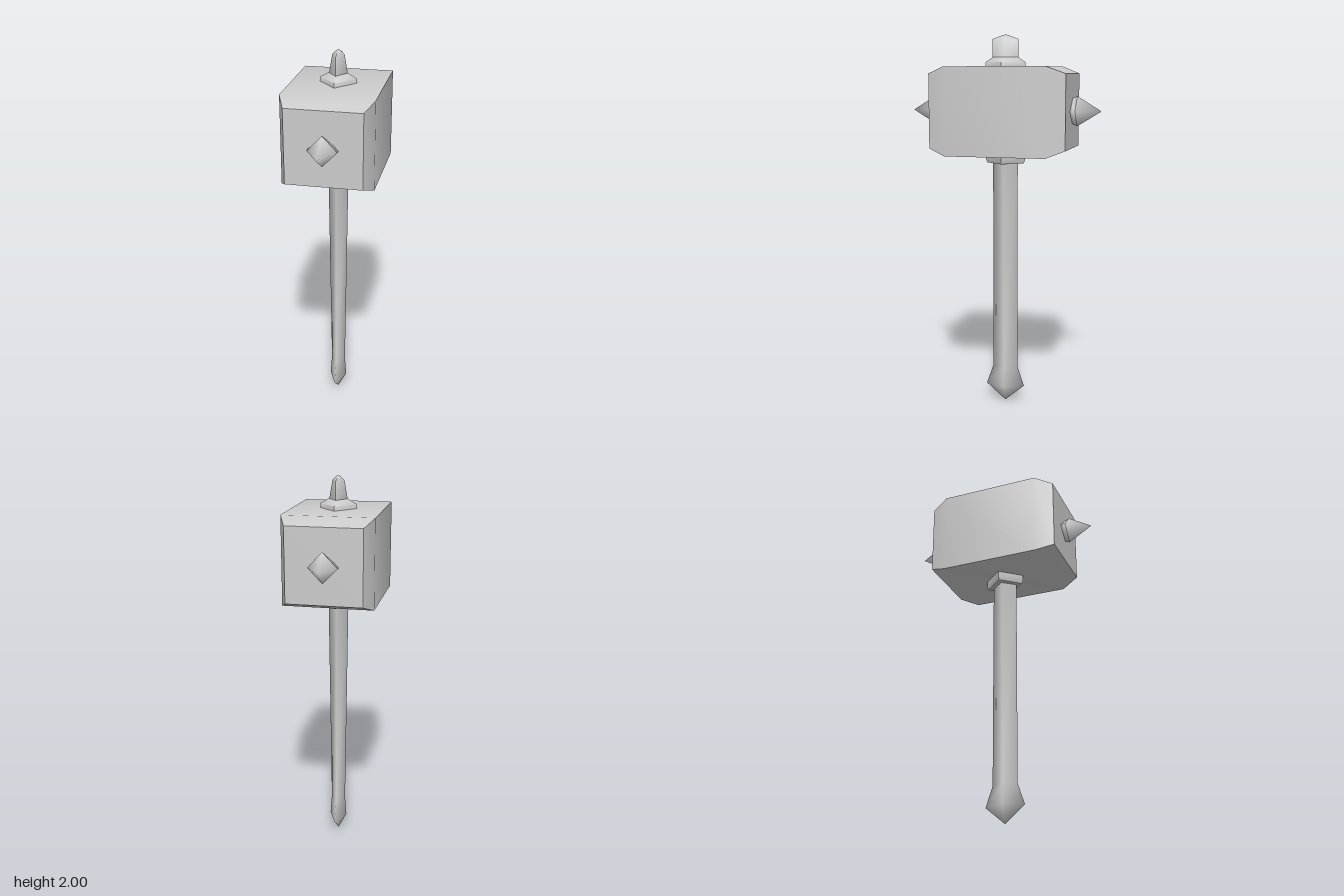
import * as THREE from 'three';
import { toCreasedNormals } from 'three/addons/utils/BufferGeometryUtils.js';

const DIAMOND = [[1, 0], [0, -1], [-1, 0], [0, 1]];
const SQUARE = [[1, 1], [1, -1], [-1, -1], [-1, 1]];
const material = new THREE.MeshStandardMaterial({ color: 0xcccccc });

// Four-sided loft through rings [y, half x, half z], bottom to top; a zero ring closes an end.
function loft(name, corners, rings, crease = Math.PI) {
  const positions = [];
  const index = [];
  for (const [y, hx, hz] of rings) {
    for (const [x, z] of corners) positions.push(x * hx, y, z * hz);
  }
  for (let r = 0; r < rings.length - 1; r++) {
    for (let i = 0; i < 4; i++) {
      const j = (i + 1) % 4;
      const a = r * 4 + i, b = r * 4 + j, c = a + 4, d = b + 4;
      if (rings[r][1] > 0) index.push(a, b, d);
      if (rings[r + 1][1] > 0) index.push(a, d, c);
      else if (rings[r][1] > 0) index.splice(-3, 3, a, b, c);
    }
  }
  const geometry = new THREE.BufferGeometry();
  geometry.setAttribute('position', new THREE.Float32BufferAttribute(positions, 3));
  geometry.setIndex(index);
  const mesh = new THREE.Mesh(toCreasedNormals(geometry, crease), material);
  mesh.name = name;
  return mesh;
}

export function createModel() {
  const model = new THREE.Group();
  model.name = 'warHammer';
  const headY = 1.608;

  // Block head with bevelled striking ends, lofted along z
  const head = loft('head', SQUARE, [
    [-0.36, 0, 0], [-0.36, 0.195, 0.193], [-0.265, 0.235, 0.229],
    [0.265, 0.235, 0.229], [0.36, 0.195, 0.193], [0.36, 0, 0],
  ], 0.6);
  head.rotation.x = Math.PI / 2;
  head.position.y = headY;
  model.add(head);

  // Spike on each striking face
  for (const [name, turn] of [['frontSpike', 0], ['backSpike', Math.PI]]) {
    const spike = new THREE.Group();
    spike.name = name;
    spike.add(
      loft('spikeBase', DIAMOND, [[0.35, 0.075, 0.062], [0.385, 0.075, 0.078]]),
      loft('spikePoint', DIAMOND, [[0.385, 0.075, 0.078], [0.512, 0, 0]]),
    );
    spike.rotation.set(Math.PI / 2, turn, 0, 'YXZ');
    spike.position.y = headY;
    model.add(spike);
  }

  // Tapered shaft with a flared, pointed pommel
  model.add(loft('handle', DIAMOND, [
    [0, 0, 0], [0.09, 0.046, 0.106], [0.2, 0.038, 0.068], [1.4, 0.054, 0.068],
  ]));

  // Collars where the shaft passes through the head
  model.add(loft('lowerCollar', DIAMOND, [
    [1.33, 0, 0], [1.33, 0.088, 0.1], [1.348, 0.095, 0.108], [1.4, 0.095, 0.108],
  ], 1.25));
  model.add(loft('upperCollar', DIAMOND, [
    [1.82, 0.095, 0.108], [1.86, 0.095, 0.108], [1.885, 0.05, 0.07], [1.885, 0, 0],
  ], 1.25));

  // Blunt blade-like finial on top
  model.add(loft('finial', DIAMOND, [
    [1.87, 0.05, 0.07], [1.978, 0.031, 0.07], [2, 0.008, 0.012], [2, 0, 0],
  ], 1.25));

  return model;
}
